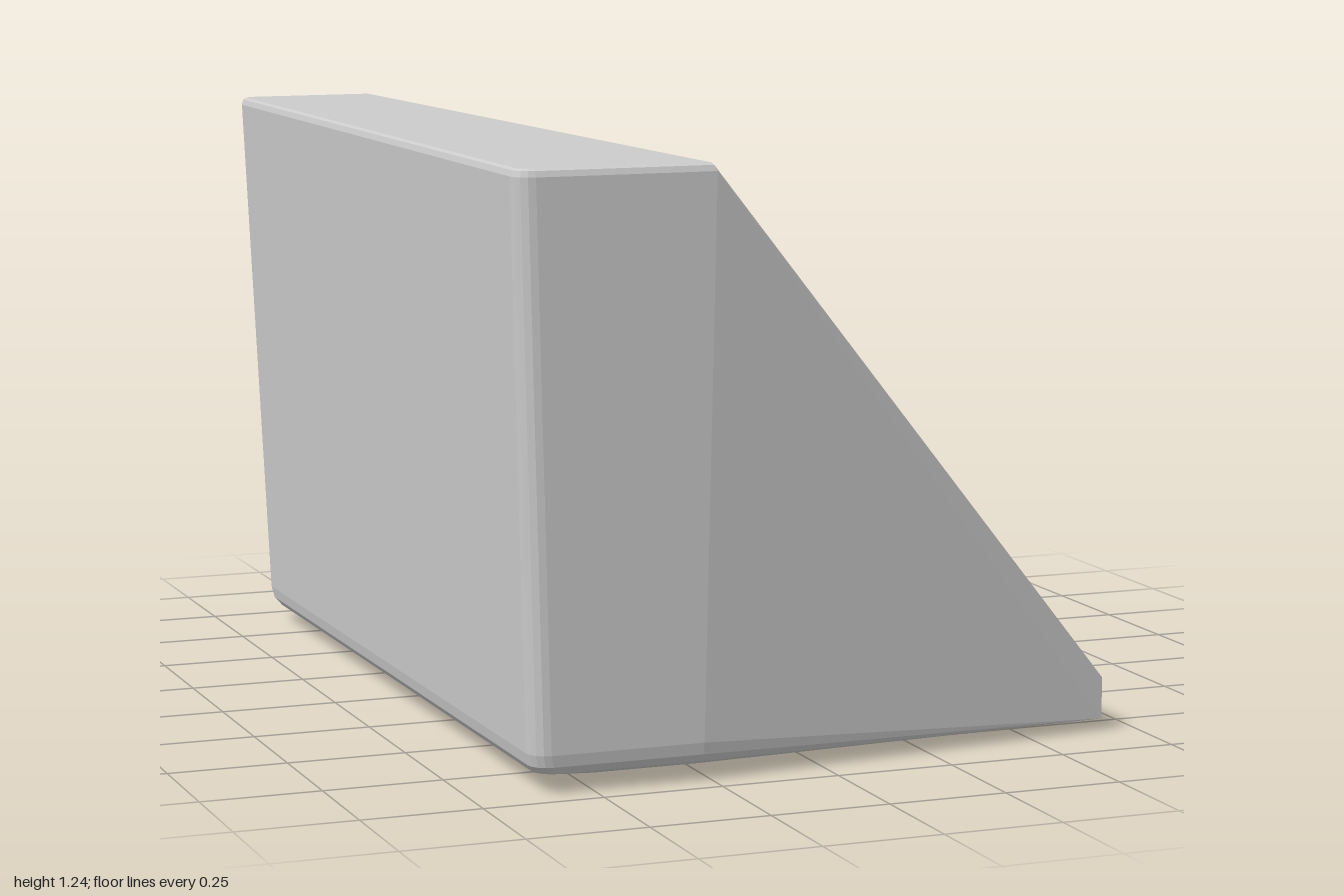
import * as THREE from 'three';
import { ConvexGeometry } from 'three/addons/geometries/ConvexGeometry.js';

export function createModel() {
  const group = new THREE.Group();
  const points = [];
  const add = (x, y, z) => points.push(new THREE.Vector3(x, y, z));

  // Tall block: horizontal slices [y, end x, half depth, corner radius, ridge x front, ridge x back]
  const slices = [
    [1.238, -0.664, 0.985, 0.03, -0.27, -0.36],
    [1.234, -0.671, 0.993, 0.035, -0.268, -0.358],
    [1.222, -0.675, 0.997, 0.04, -0.262, -0.35],
    [0.08, -0.632, 0.953, 0.04, -0.27, -0.27],
    [0.055, -0.627, 0.948, 0.04, -0.27, -0.27],
    [0.038, -0.613, 0.933, 0.04, -0.27, -0.27],
    [0.033, -0.595, 0.915, 0.03, -0.27, -0.27],
  ];
  for (const [y, x, depth, r, ridgeFront, ridgeBack] of slices) {
    for (const side of [1, -1]) {
      // Rounded vertical corner
      for (let i = 0; i <= 4; i++) {
        const a = (i / 4) * Math.PI / 2;
        add(x + r * (1 - Math.cos(a)), y, side * (depth - r * (1 - Math.sin(a))));
      }
      add(side > 0 ? ridgeFront : ridgeBack, y, side * depth);
    }
  }

  // Shallow flat underside
  for (const z of [0.8, -0.8]) {
    add(-0.45, 0, z);
    add(-0.22, 0, z);
  }

  // Narrow lip at the foot of the slope
  for (const [z, top] of [[0.83, 0.113], [-0.805, 0.102]]) {
    add(0.675, top, z);
    add(0.675, 0.025, z);
  }

  const wedge = new THREE.Mesh(
    new ConvexGeometry(points),
    new THREE.MeshStandardMaterial({ color: 0xcccccc, flatShading: true })
  );
  wedge.name = 'wedgeBody';
  group.add(wedge);
  return group;
}
